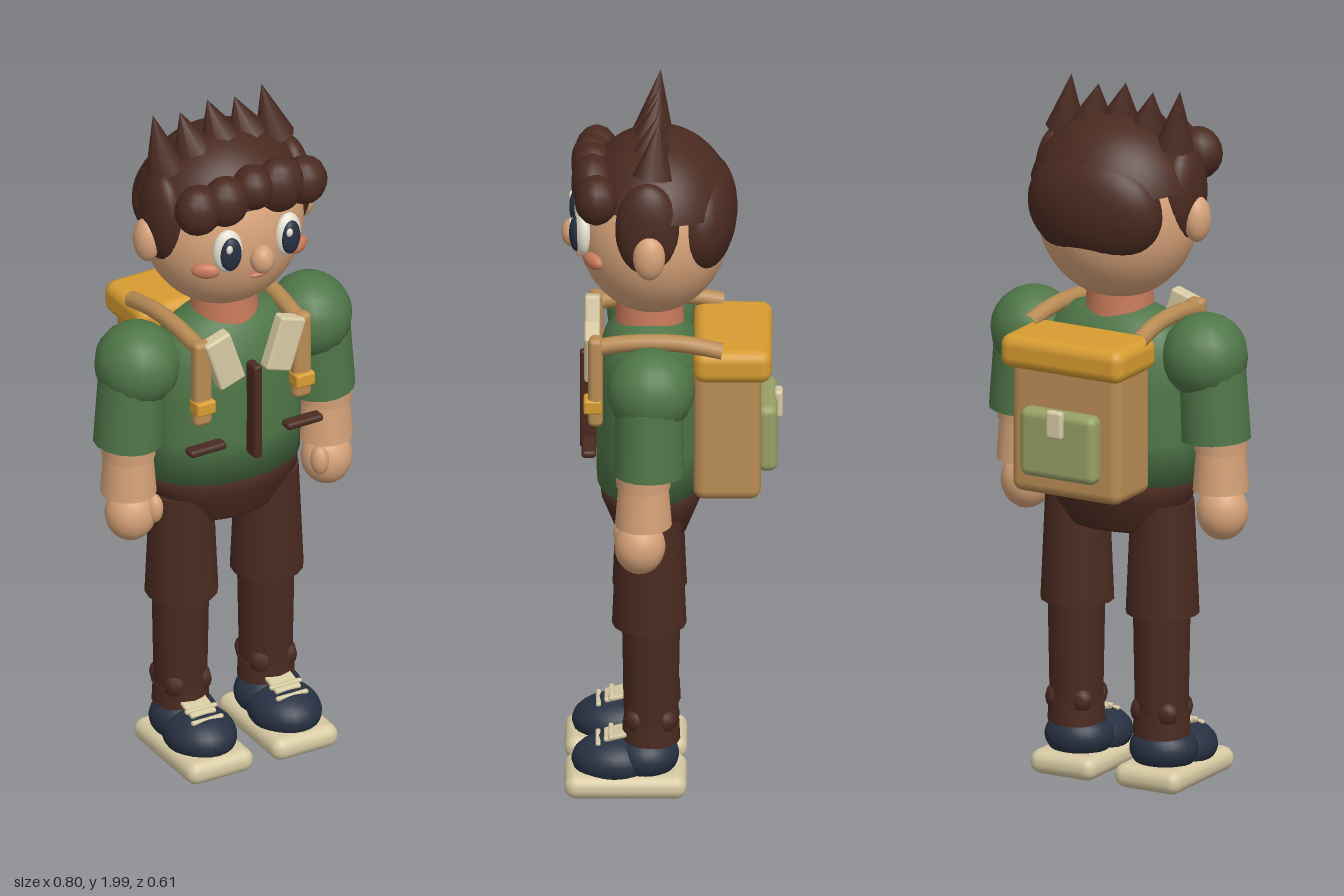
import * as THREE from 'three';
import { RoundedBoxGeometry } from 'three/addons/geometries/RoundedBoxGeometry.js';

const mat = (name, color, side = THREE.FrontSide) => {
  const m = new THREE.MeshStandardMaterial({ color, side });
  m.name = name;
  return m;
};

export function createModel() {
  const root = new THREE.Group();
  root.name = 'backpacker';
  const brown = mat('dark brown', 0x4a2a20, THREE.DoubleSide);
  const green = mat('jacket green', 0x4f7648);
  const skin = mat('skin', 0xd6a279);
  const blush = mat('blush', 0xc97b5c);
  const navy = mat('navy', 0x273142);
  const cream = mat('cream', 0xd6c9a2);
  const white = mat('eye white', 0xe9e4d2);
  const tan = mat('tan', 0xb98c54);
  const orange = mat('orange', 0xd79c31);
  const olive = mat('olive', 0x97a066);

  const add = (name, geo, m, x = 0, y = 0, z = 0) => {
    const mesh = new THREE.Mesh(geo, m);
    mesh.name = name;
    mesh.position.set(x, y, z);
    root.add(mesh);
    return mesh;
  };
  const ball = (name, m, p, r, seg = 24) => {
    const mesh = add(name, new THREE.SphereGeometry(1, seg, Math.ceil(seg * 0.7)), m, ...p);
    mesh.scale.set(...r);
    return mesh;
  };
  const box = (name, m, p, s, r = 0.01) =>
    add(name, new RoundedBoxGeometry(s[0], s[1], s[2], 3, r), m, ...p);
  const tube = (name, m, p, rTop, rBottom, h, seg = 16) =>
    add(name, new THREE.CylinderGeometry(rTop, rBottom, h, seg), m, ...p);
  // lathe squashed front to back
  const oval = (name, m, profile, depth, z) => {
    const pts = profile.map(([r, y]) => new THREE.Vector2(r, y));
    const mesh = add(name, new THREE.LatheGeometry(pts, 32), m, 0, 0, z);
    mesh.scale.z = depth;
    return mesh;
  };

  // Torso, hips and neck
  oval('jacket', green, [[0, 0.88], [0.225, 0.88], [0.228, 1.0], [0.23, 1.15], [0.222, 1.24],
    [0.19, 1.31], [0.14, 1.35], [0.08, 1.37], [0, 1.37]], 0.64, 0.06);
  oval('hips', brown, [[0, 0.735], [0.15, 0.735], [0.165, 0.745], [0.222, 0.835],
    [0.222, 0.885], [0, 0.885]], 0.62, 0.055);
  tube('neck', blush, [0, 1.385, 0.06], 0.09, 0.095, 0.1, 24);
  box('zipper', brown, [0, 1.11, 0.225], [0.026, 0.29, 0.05], 0.008);

  // Head and face
  ball('head', skin, [0, 1.63, 0.05], [0.228, 0.245, 0.21], 40);
  ball('nose', skin, [0, 1.605, 0.268], [0.034, 0.042, 0.034]);
  ball('mouth', blush, [0, 1.55, 0.252], [0.031, 0.008, 0.01], 14);

  // Hair: cap, back mass, fringe lumps and crest spikes
  const cap = add('hairCap', new THREE.SphereGeometry(1, 40, 20, 0, Math.PI * 2, 0, 1.27),
    brown, 0, 1.655, 0.043);
  cap.scale.set(0.25, 0.255, 0.222);
  cap.rotation.x = -0.1;
  const backHair = ball('backHair', brown, [0, 1.665, -0.075], [0.205, 0.165, 0.105], 32);
  backHair.rotation.x = -0.12;
  [[-0.165, 1.775, 0.205, 0.068], [-0.085, 1.785, 0.215, 0.068], [0, 1.805, 0.215, 0.06],
    [0.085, 1.79, 0.215, 0.075], [0.17, 1.775, 0.205, 0.065]].forEach(([x, y, z, r]) =>
    ball('fringeLump', brown, [x, y, z], [r, r * 1.08, 0.06], 14));
  for (let i = 0; i < 5; i++) {
    const x = -0.178 + i * 0.086;
    const y = 1.885 - 1.6 * x * x;
    const base = new THREE.Vector3(x, y, 0.05);
    const tip = new THREE.Vector3(x - 0.03, i % 2 ? 1.985 : 2.0, 0.03);
    const axis = tip.clone().sub(base);
    const spike = add('hairSpike', new THREE.ConeGeometry(0.056, axis.length(), 9), brown);
    spike.position.copy(base).add(tip).multiplyScalar(0.5);
    spike.quaternion.setFromUnitVectors(new THREE.Vector3(0, 1, 0), axis.normalize());
  }

  // Paired parts
  for (const s of [1, -1]) {
    // face
    ball('ear', skin, [s * 0.245, 1.635, 0.06], [0.036, 0.065, 0.044]);
    ball('sideHair', brown, [s * 0.2, 1.7, 0.065], [0.054, 0.135, 0.088]);
    const eye = ball('eye', white, [s * 0.095, 1.645, 0.243], [0.043, 0.065, 0.026]);
    eye.rotation.y = s * 0.2;
    const iris = ball('iris', navy, [s * 0.095, 1.643, 0.26], [0.031, 0.051, 0.019]);
    iris.rotation.y = s * 0.2;
    ball('eyeGlint', white, [s * 0.095 - 0.012, 1.667, 0.275], [0.01, 0.013, 0.006], 12);
    const cheek = ball('cheek', blush, [s * 0.147, 1.583, 0.214], [0.04, 0.023, 0.018]);
    cheek.rotation.y = s * 0.6;

    // arm
    ball('shoulder', green, [s * 0.272, 1.25, 0.056], [0.118, 0.12, 0.122], 16);
    const sleeve = tube('sleeve', green, [s * 0.298, 1.135, 0.06], 0.092, 0.096, 0.235);
    sleeve.rotation.z = s * 0.06;
    tube('forearm', skin, [s * 0.311, 0.945, 0.075], 0.066, 0.078, 0.15, 20);
    tube('wrist', skin, [s * 0.311, 1.005, 0.075], 0.076, 0.074, 0.045, 20);
    ball('hand', skin, [s * 0.31, 0.805, 0.085], [0.072, 0.08, 0.07]);
    ball('thumb', skin, [s * 0.262, 0.825, 0.13], [0.025, 0.044, 0.028], 14);

    // leg
    tube('upperLeg', brown, [s * 0.135, 0.66, 0.06], 0.088, 0.102, 0.32);
    tube('lowerLeg', brown, [s * 0.135, 0.34, 0.055], 0.08, 0.073, 0.38);
    tube('ankleCuff', brown, [s * 0.135, 0.185, 0.055], 0.077, 0.08, 0.06);
    for (let k = 0; k < 4; k++) {
      const a = Math.PI / 4 + k * Math.PI / 2;
      ball('cuffFold', brown, [s * 0.135 + Math.cos(a) * 0.055, 0.225, 0.055 + Math.sin(a) * 0.055],
        [0.034, 0.04, 0.034], 8);
    }

    // shoe
    box('sole', cream, [s * 0.134, 0.04, 0.125], [0.207, 0.068, 0.335], 0.032);
    ball('shoeToe', navy, [s * 0.134, 0.095, 0.155], [0.1, 0.07, 0.118]);
    ball('shoeHeel', navy, [s * 0.134, 0.11, 0.07], [0.097, 0.07, 0.092]);
    const tongue = box('shoeTongue', cream, [s * 0.134, 0.17, 0.15], [0.08, 0.014, 0.07], 0.006);
    tongue.rotation.x = 0.25;
    for (const z of [0.165, 0.2])
      box('shoelace', cream, [s * 0.134, 0.172 - (z - 0.165) * 0.5, z], [0.1, 0.012, 0.014], 0.005);

    // jacket details
    const collar = box('collar', cream, [s * 0.096, 1.29, 0.217], [0.082, 0.16, 0.042], 0.008);
    collar.rotation.z = -s * 0.32;
    box('pocketTrim', brown, [s * 0.153, 1.03, 0.225], [0.115, 0.022, 0.04], 0.01);

    // backpack straps
    box('strap', tan, [s * 0.157, 1.23, 0.207], [0.055, 0.26, 0.04], 0.015);
    box('strapBuckle', orange, [s * 0.157, 1.16, 0.215], [0.06, 0.042, 0.05], 0.008);
    const path = new THREE.CatmullRomCurve3([[0.157, 1.33, 0.205], [0.162, 1.345, 0.1],
      [0.168, 1.345, -0.03], [0.175, 1.325, -0.14]].map(([x, y, z]) => new THREE.Vector3(s * x, y, z)));
    add('shoulderStrap', new THREE.TubeGeometry(path, 16, 0.024, 10), tan);
  }

  // Backpack
  box('backpackBody', tan, [0, 1.075, -0.153], [0.345, 0.4, 0.185], 0.03);
  box('backpackFlap', orange, [0, 1.278, -0.168], [0.387, 0.095, 0.215], 0.032);
  box('backpackPocket', olive, [0, 1.035, -0.262], [0.24, 0.195, 0.058], 0.024);
  box('pocketLatch', cream, [0, 1.1, -0.293], [0.052, 0.08, 0.024], 0.01);

  return root;
}
